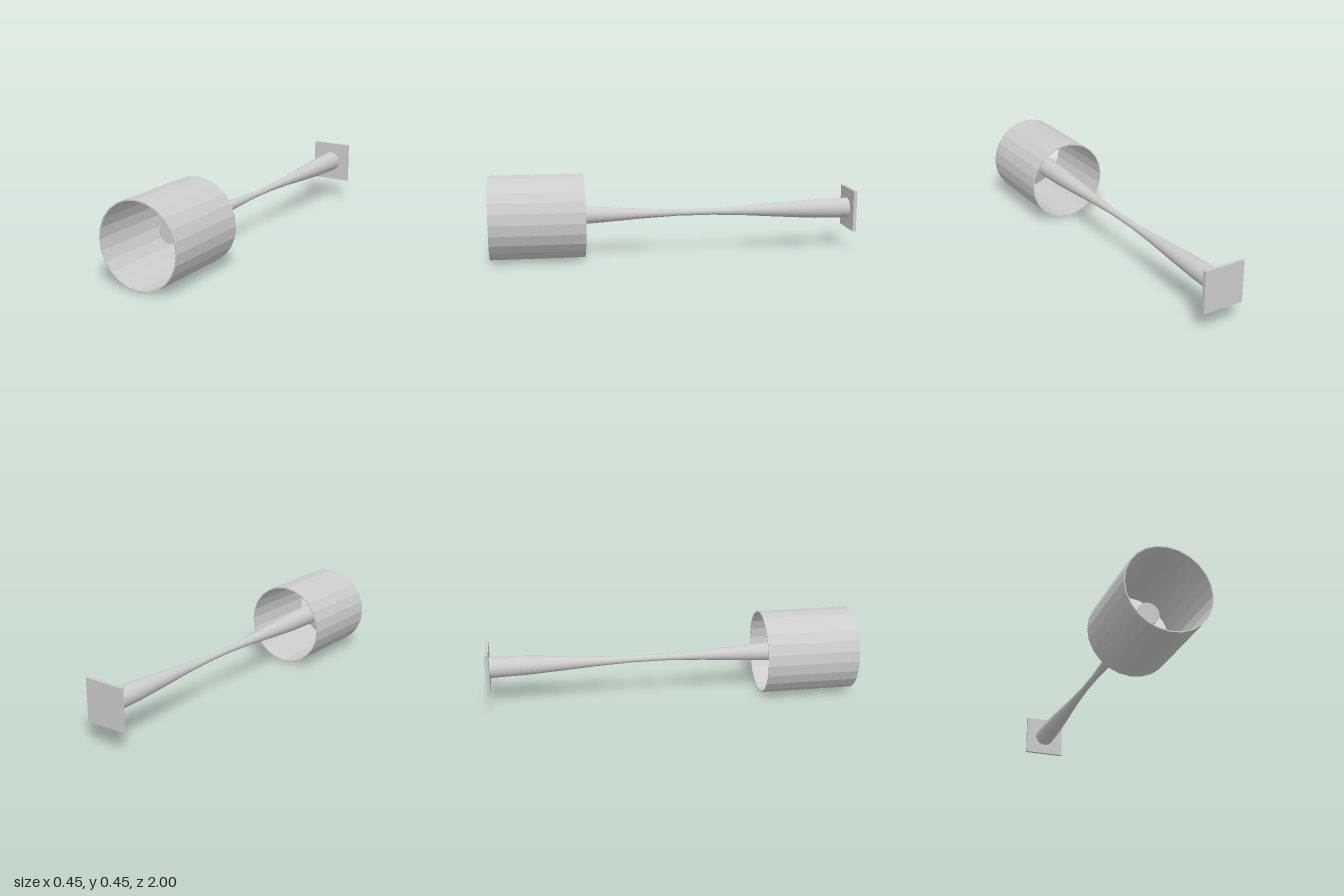
import * as THREE from 'three';

const R = 0.226;          // outer radius of the drum, also the axis height
const FRONT = 1, DRUM_BACK = 0.495;
const ROD_FRONT = 0.75, ROD_BACK = -0.981;

export function createModel() {
  const group = new THREE.Group();
  const material = new THREE.MeshStandardMaterial({ color: 0xcccccc, flatShading: true });

  const add = (name, geometry) => {
    const mesh = new THREE.Mesh(geometry, material);
    mesh.name = name;
    mesh.position.y = R;
    group.add(mesh);
  };

  // Revolve [radius, z] pairs around the z axis
  const revolve = (profile, sides) =>
    new THREE.LatheGeometry(profile.map(([r, z]) => new THREE.Vector2(r, z)), sides).rotateX(Math.PI / 2);

  // Open thin-walled drum
  const inner = R - 0.006;
  add('drum', revolve([[R, DRUM_BACK], [R, FRONT], [inner, FRONT], [inner, DRUM_BACK], [R, DRUM_BACK]], 24));

  // Rod with a narrow waist, capped at both ends
  const steps = 9;
  const profile = [[0, ROD_BACK]];
  for (let i = 0; i <= steps; i++) {
    const t = i / steps;
    profile.push([0.0365 + 0.02 * Math.cos(2 * Math.PI * t), THREE.MathUtils.lerp(ROD_BACK, ROD_FRONT, t)]);
  }
  profile.push([0, ROD_FRONT]);
  add('rod', revolve(profile, 32));

  // Square mounting plate at the back
  add('backPlate', new THREE.BoxGeometry(R, R, 0.019).translate(0, 0, -0.9905));

  return group;
}
